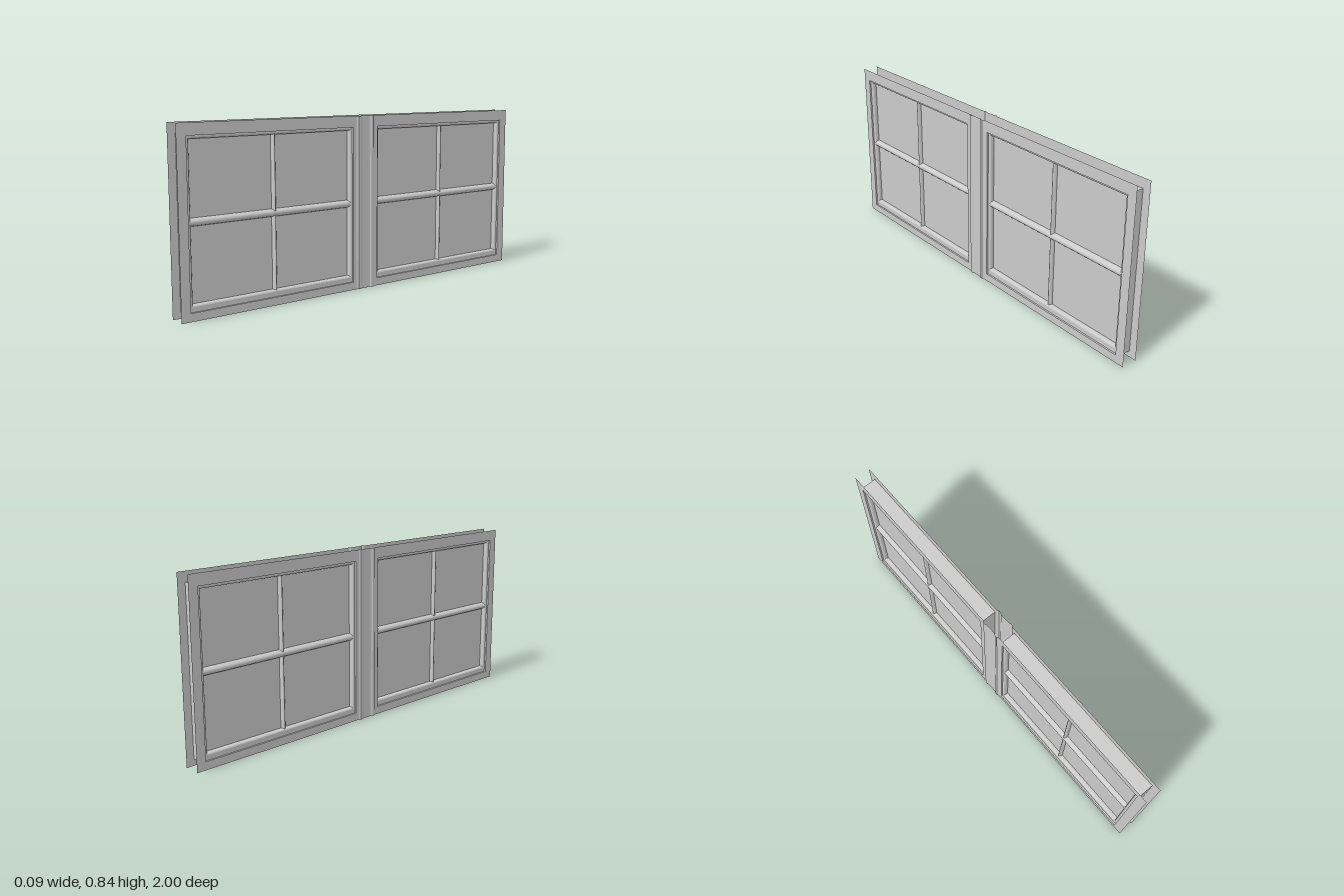
import * as THREE from 'three';

const FACE = 0.039;      // distance of each casing sheet from the middle
const HEIGHT = 0.842;
const OPEN = { z0: 0.067, z1: 0.962, y0: 0.03, y1: 0.796 };   // wall opening
const GLASS = { z0: 0.09, z1: 0.937, y0: 0.07, y1: 0.773 };   // visible glazing

const material = new THREE.MeshStandardMaterial({ color: 0xcccccc, side: THREE.DoubleSide });

function add(parent, name, geometry) {
  const mesh = new THREE.Mesh(geometry, material);
  mesh.name = name;
  parent.add(mesh);
  return mesh;
}

function rect(Type, r, inset = 0) {
  const p = new Type();
  p.moveTo(r.z0 + inset, r.y0 + inset);
  p.lineTo(r.z1 - inset, r.y0 + inset);
  p.lineTo(r.z1 - inset, r.y1 - inset);
  p.lineTo(r.z0 + inset, r.y1 - inset);
  p.closePath();
  return p;
}

// Rectangular ring in the z-y plane, extruded across the wall and centred on x = 0
function ring(outer, inner, depth, bevel) {
  const shape = rect(THREE.Shape, outer);
  shape.holes.push(inner);
  const t = bevel ? 0.012 : 0;
  const g = new THREE.ExtrudeGeometry(shape, {
    depth: depth - 2 * t, bevelEnabled: bevel, bevelThickness: t,
    bevelSize: 0.009, bevelOffset: -0.009, bevelSegments: 3,
  });
  return g.translate(0, 0, t - depth / 2).rotateY(-Math.PI / 2);
}

// One half of the casing: a flat open sheet around the opening
function casingSheet() {
  const shape = rect(THREE.Shape, { z0: 0.055, z1: 1, y0: 0, y1: HEIGHT });
  shape.holes.push(rect(THREE.Path, OPEN));
  return new THREE.ShapeGeometry(shape).rotateY(-Math.PI / 2).translate(FACE, 0, 0);
}

// Moulded strip between the windows, swept up from a (z, x) profile
function mullionStrip() {
  const half = [[0.055, 0], [0.05, 0.002], [0.046, 0.006], [0.034, 0.006], [0.028, 0.002], [0.018, 0.001]];
  const profile = [...half, ...half.map(([z, x]) => [-z, x]).reverse()];
  const pos = [];
  for (let i = 0; i < profile.length - 1; i++) {
    const [za, xa] = profile[i], [zb, xb] = profile[i + 1];
    const a = [FACE + xa, 0, za], b = [FACE + xb, 0, zb];
    const c = [b[0], HEIGHT, zb], d = [a[0], HEIGHT, za];
    pos.push(...a, ...b, ...c, ...a, ...c, ...d);
  }
  const g = new THREE.BufferGeometry();
  g.setAttribute('position', new THREE.Float32BufferAttribute(pos, 3));
  g.computeVertexNormals();
  return g;
}

// Rounded glazing bar, oval in section
function bar(length, halfWidth, halfDepth) {
  return new THREE.CylinderGeometry(1, 1, length, 16).scale(halfDepth, 1, halfWidth);
}

function makeWindow() {
  const unit = new THREE.Group();
  const zMid = (GLASS.z0 + GLASS.z1) / 2, yMid = (GLASS.y0 + GLASS.y1) / 2;
  const w = GLASS.z1 - GLASS.z0, h = GLASS.y1 - GLASS.y0;

  add(unit, 'jamb', ring(OPEN, rect(THREE.Path, OPEN, 0.008), 2 * FACE, false));
  add(unit, 'sash', ring(OPEN, rect(THREE.Path, GLASS), 0.062, true));
  add(unit, 'glass', new THREE.BoxGeometry(0.018, h + 0.01, w + 0.01)).position.set(0, yMid, zMid);
  add(unit, 'verticalBar', bar(h + 0.01, 0.01, 0.027)).position.set(0, yMid, zMid);
  add(unit, 'middleRail', bar(w + 0.01, 0.019, 0.031).rotateX(Math.PI / 2)).position.set(0, yMid, zMid);
  return unit;
}

export function createModel() {
  const model = new THREE.Group();
  model.name = 'doubleWindow';

  // Two window units side by side
  for (const turn of [0, Math.PI]) {
    const unit = makeWindow();
    unit.name = turn ? 'backWindow' : 'frontWindow';
    unit.rotation.y = turn;
    model.add(unit);
  }

  // Casing on both faces of the wall
  for (const turn of [0, Math.PI]) {
    const casing = new THREE.Group();
    casing.name = turn ? 'rightCasing' : 'leftCasing';
    add(casing, 'casingFront', casingSheet());
    add(casing, 'casingBack', casingSheet().rotateY(Math.PI).translate(2 * FACE, 0, 0));
    add(casing, 'mullionStrip', mullionStrip());
    casing.rotation.y = turn;
    model.add(casing);
  }
  return model;
}
